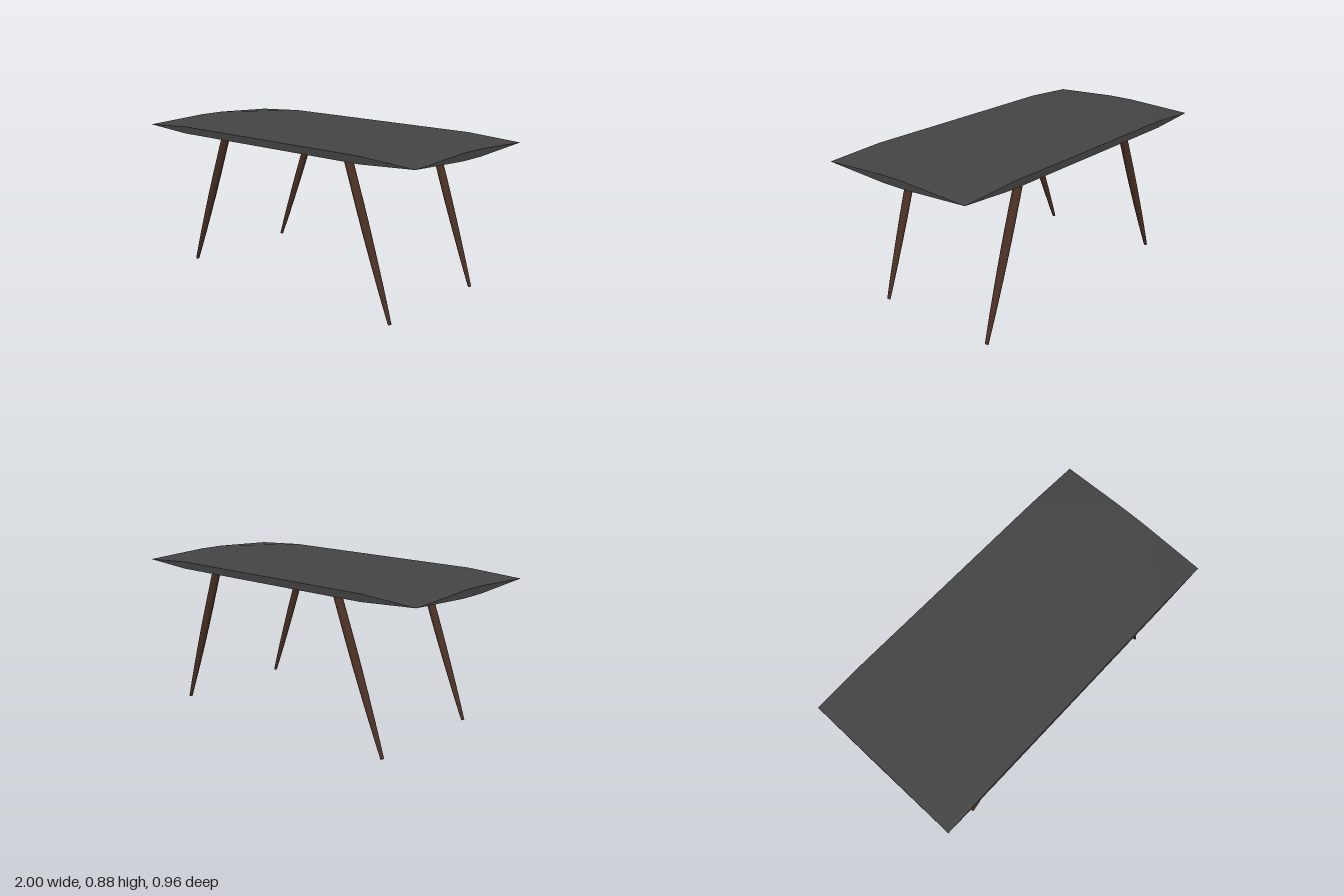
import * as THREE from 'three';

const slate = new THREE.MeshStandardMaterial({ color: 0x444444 });
slate.name = 'dark grey top';
slate.flatShading = true;
const walnut = new THREE.MeshStandardMaterial({ color: 0x4a3024 });
walnut.name = 'dark brown wood';

// Rectangular slab whose four corners are bevelled above and below to a point
function tabletopGeometry(w, d, flatX, flatZ, y, half) {
  const loop = []; // [x, z, half thickness], three points per corner
  for (const [sx, sz] of [[1, 1], [1, -1], [-1, -1], [-1, 1]]) {
    const onLong = [sx * flatX, sz * d, half];
    const onEnd = [sx * w, sz * flatZ, half];
    const tip = [sx * w, sz * d, 0];
    loop.push(...(sx * sz > 0 ? [onLong, tip, onEnd] : [onEnd, tip, onLong]));
  }
  const pos = [];
  const up = (p) => [p[0], y + p[2], p[1]];
  const down = (p) => [p[0], y - p[2], p[1]];
  const tri = (a, b, c) => pos.push(...a, ...b, ...c);
  const cap = (a, b, c) => {
    tri(up(a), up(b), up(c));
    tri(down(a), down(c), down(b));
  };
  const centre = [0, 0, half];
  for (let i = 0; i < 12; i++) {
    const a = loop[i], b = loop[(i + 1) % 12];
    if (i % 3 === 0) {
      const c = loop[i + 2];
      cap(a, b, c); // sloping corner facet
      cap(centre, a, c);
    } else if (i % 3 === 2) {
      cap(centre, a, b);
    }
    // edge band, tapering to nothing at each corner
    if (b[2] > 0) tri(down(a), down(b), up(b));
    if (a[2] > 0) tri(down(a), up(b), up(a));
  }
  const g = new THREE.BufferGeometry();
  g.setAttribute('position', new THREE.Float32BufferAttribute(pos, 3));
  g.computeVertexNormals();
  return g;
}

// Tapered round leg, slightly narrower across x, running from foot to top
function makeLeg(name, foot, top) {
  const from = new THREE.Vector3(...foot), to = new THREE.Vector3(...top);
  const axis = to.clone().sub(from);
  const len = axis.length();
  const profile = [[0.0105, 0], [0.0145, 0.1], [0.0185, 0.22], [0.0225, 0.38],
    [0.0255, 0.55], [0.0265, 0.7], [0.026, 1]].map(([r, t]) => new THREE.Vector2(r, t * len));
  const leg = new THREE.Group();
  leg.name = name;
  const shaft = new THREE.Mesh(new THREE.LatheGeometry(profile, 20), walnut);
  shaft.name = 'legShaft';
  const sole = new THREE.Mesh(new THREE.CircleGeometry(0.0105, 20), walnut);
  sole.name = 'legFoot';
  sole.rotation.x = Math.PI / 2;
  leg.add(shaft, sole);
  leg.scale.x = 0.8;
  leg.position.copy(from);
  leg.quaternion.setFromUnitVectors(new THREE.Vector3(0, 1, 0), axis.normalize());
  return leg;
}

export function createModel() {
  const table = new THREE.Group();
  table.name = 'table';

  const top = new THREE.Mesh(tabletopGeometry(1, 0.48, 0.67, 0.08, 0.863, 0.02), slate);
  top.name = 'tabletop';
  table.add(top);

  // Splayed legs, in a front and a back pair
  for (const [row, footZ, topZ] of [['front', 0.358, 0.37], ['back', -0.394, -0.382]]) {
    table.add(makeLeg(row + 'LeftLeg', [0.781, 0.004, footZ], [0.496, 0.855, topZ]));
    table.add(makeLeg(row + 'RightLeg', [-0.757, 0.02, footZ], [-0.428, 0.855, topZ]));
  }
  return table;
}
